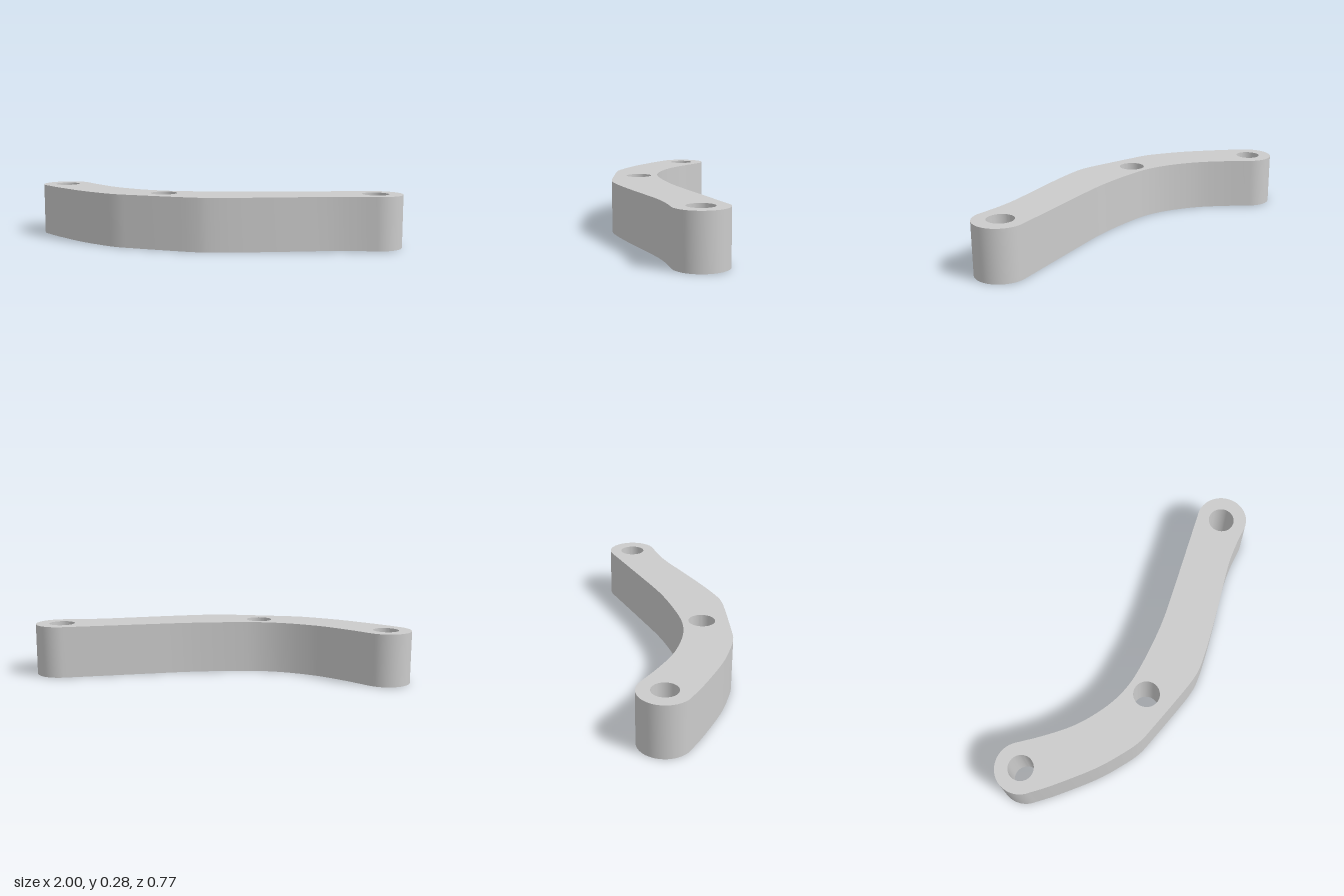
import * as THREE from 'three';
import { toCreasedNormals } from 'three/addons/utils/BufferGeometryUtils.js';

const HEIGHT = 0.28;
const LEFT_END = [-0.865, -0.253];
const RIGHT_END = [0.863, 0.172];

// Plan positions are [x, z]; the shape is drawn with y = -z
const plan = ([x, z]) => new THREE.Vector2(x, -z);

// Rounded end, counter-clockwise between two angles in degrees
function endArc([x, z], r, from, to) {
  const rad = THREE.MathUtils.degToRad;
  return new THREE.EllipseCurve(x, -z, r, r, rad(from), rad(to)).getPoints(32);
}

// Smooth side running between two arc end points (which are left out)
function side(start, points, end) {
  const curve = new THREE.SplineCurve([start, ...points.map(plan), end]);
  return curve.getPoints(60).slice(1, -1);
}

function addHole(shape, [x, z], r) {
  const hole = new THREE.Path();
  hole.absarc(x, -z, r, 0, Math.PI * 2, true);
  shape.holes.push(hole);
}

export function createModel() {
  const group = new THREE.Group();
  group.name = 'linkArm';

  // Bent outline: two rounded ends joined by curved sides
  const left = endArc(LEFT_END, 0.135, 35, 225);
  const right = endArc(RIGHT_END, 0.137, -98, 96);
  const front = side(left.at(-1), [
    [-0.88, -0.065], [-0.72, 0.095], [-0.59, 0.195], [-0.5, 0.25], [-0.4, 0.284],
    [-0.19, 0.347], [-0.08, 0.376], [0, 0.384], [0.14, 0.374],
    [0.35, 0.347], [0.6, 0.31], [0.74, 0.303],
  ], right[0]);
  const back = side(right.at(-1), [
    [0.62, 0.059], [0.4, 0.081], [0.19, 0.1], [0.03, 0.102], [-0.13, 0.093],
    [-0.24, 0.077], [-0.345, 0.042], [-0.45, -0.016], [-0.56, -0.1], [-0.665, -0.215],
  ], left[0]);
  const shape = new THREE.Shape([...left, ...front, ...right, ...back]);

  // Pin holes through the ends and the bend
  addHole(shape, LEFT_END, 0.067);
  addHole(shape, [-0.254, 0.182], 0.07);
  addHole(shape, [0.857, 0.171], 0.07);

  const extruded = new THREE.ExtrudeGeometry(shape, {
    depth: HEIGHT, bevelEnabled: false, curveSegments: 24,
  });
  extruded.rotateX(-Math.PI / 2);

  const arm = new THREE.Mesh(
    toCreasedNormals(extruded, Math.PI / 5),
    new THREE.MeshStandardMaterial({ color: 0xcccccc }),
  );
  arm.name = 'bentArm';
  group.add(arm);
  return group;
}
